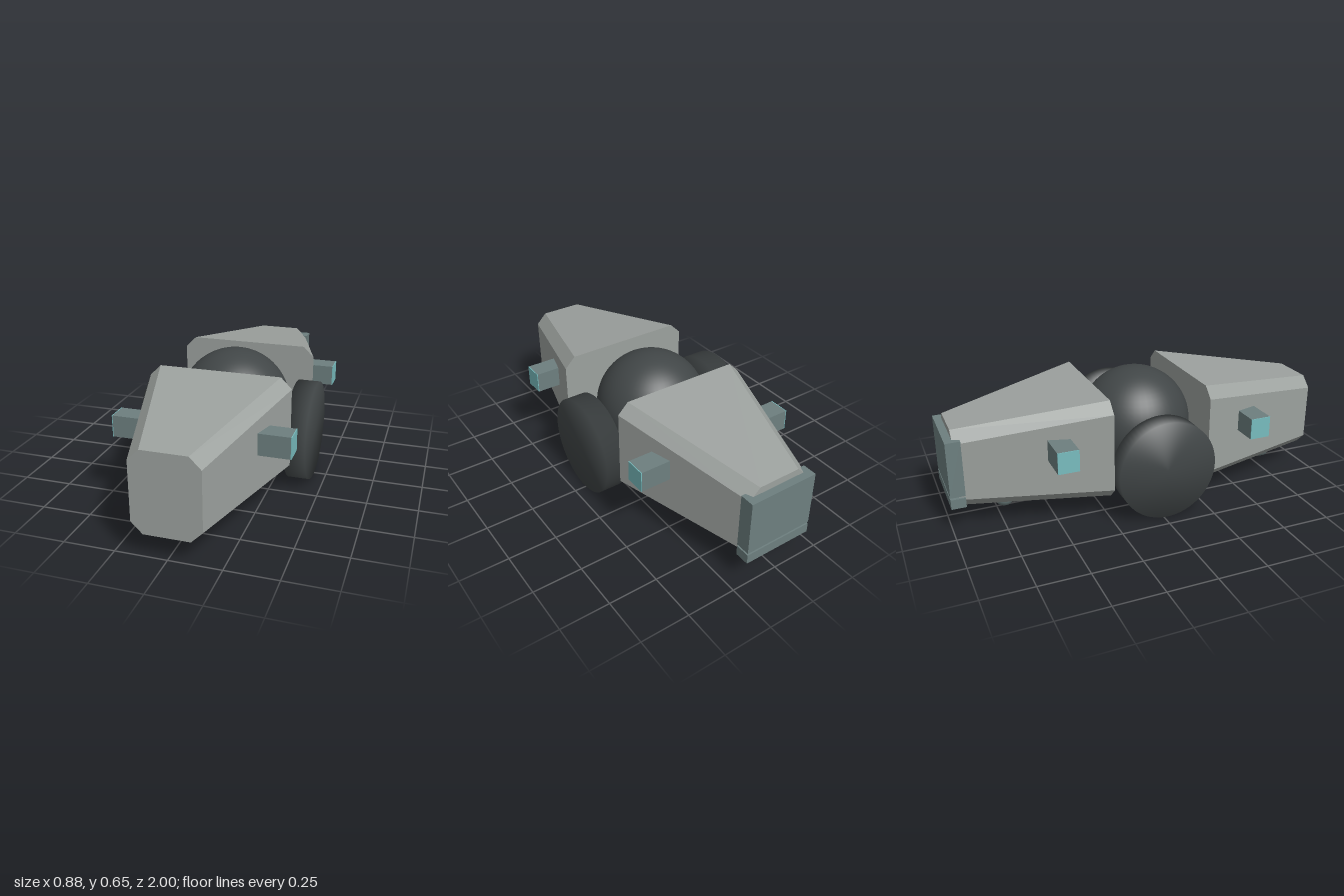
import * as THREE from 'three';
import { mergeVertices } from 'three/addons/utils/BufferGeometryUtils.js';

const paint = (name, color) => {
  const m = new THREE.MeshStandardMaterial({ color });
  m.name = name;
  return m;
};

// Chamfered octagonal outline, counter-clockwise seen from +z
function octagon(w, y0, y1, c, z) {
  return [
    [w, y0 + c], [w, y1 - c], [w - c, y1], [c - w, y1],
    [-w, y1 - c], [-w, y0 + c], [c - w, y0], [w - c, y0],
  ].map(([x, y]) => [x, y, z]);
}

// Tapered hull between two octagons, with flat faces and closed ends
function hullGeometry(back, front) {
  const pos = [];
  const tri = (a, b, c) => pos.push(...a, ...b, ...c);
  for (let i = 0; i < 8; i++) {
    const j = (i + 1) % 8;
    tri(back[i], back[j], front[j]);
    tri(back[i], front[j], front[i]);
    if (i > 0 && i < 7) {
      tri(front[0], front[i], front[j]);
      tri(back[0], back[j], back[i]);
    }
  }
  const g = new THREE.BufferGeometry();
  g.setAttribute('position', new THREE.Float32BufferAttribute(pos, 3));
  g.computeVertexNormals();
  return g;
}

// Cylinder whose shading runs smoothly over the rim
function wheelGeometry(radius, width) {
  let g = new THREE.CylinderGeometry(radius, radius, width, 64);
  g.deleteAttribute('normal');
  g.deleteAttribute('uv');
  g = mergeVertices(g);
  g.computeVertexNormals();
  return g.rotateZ(Math.PI / 2);
}

export function createModel() {
  const model = new THREE.Group();
  const hull = paint('hullGrey', 0x9ca19e);
  const dark = paint('rubberDark', 0x414647);
  const metal = paint('slateMetal', 0x6d7f7f);
  const glow = paint('tealLight', 0x78bcbe);

  const add = (name, geometry, material, x, y, z) => {
    const mesh = new THREE.Mesh(geometry, material);
    mesh.name = name;
    mesh.position.set(x, y, z);
    model.add(mesh);
  };

  // Front and rear hulls, wide and tall towards the middle
  const wide = (z) => octagon(0.363, 0.11, 0.62, 0.055, z);
  const narrow = (z) => octagon(0.165, 0.11, 0.51, 0.055, z);
  add('frontHull', hullGeometry(wide(0.275), narrow(1)), hull, 0, 0, 0);
  add('rearHull', hullGeometry(narrow(-0.962), wide(-0.235)), hull, 0, 0, 0);

  // Central ball and side wheels
  add('centreBall', new THREE.SphereGeometry(0.29, 48, 32), dark, 0, 0.365, 0.02);
  const wheel = wheelGeometry(0.255, 0.108);
  for (const [side, s] of [['left', 1], ['right', -1]]) {
    add(side + 'Wheel', wheel, dark, s * 0.382, 0.255, 0.02);
    // Side thrusters with lit end plates
    for (const [end, z] of [['Front', 0.527], ['Rear', -0.488]]) {
      add(side + end + 'Thruster', new THREE.BoxGeometry(0.157, 0.108, 0.106), metal, s * 0.3555, 0.4, z);
      add(side + end + 'ThrusterLight', new THREE.BoxGeometry(0.004, 0.108, 0.106), glow, s * 0.436, 0.4, z);
    }
  }

  // Small support balls
  const ball = new THREE.SphereGeometry(0.054, 32, 20);
  add('frontSupportBall', ball, metal, 0, 0.055, 0.82);
  add('rearSupportBall', ball, metal, 0, 0.055, -0.706);

  // Rear plates
  add('rearPlate', new THREE.BoxGeometry(0.365, 0.285, 0.073), metal, 0, 0.332, -0.9635);
  add('rearLowerPlate', new THREE.BoxGeometry(0.365, 0.05, 0.073), metal, 0, 0.154, -0.9635);
  return model;
}
